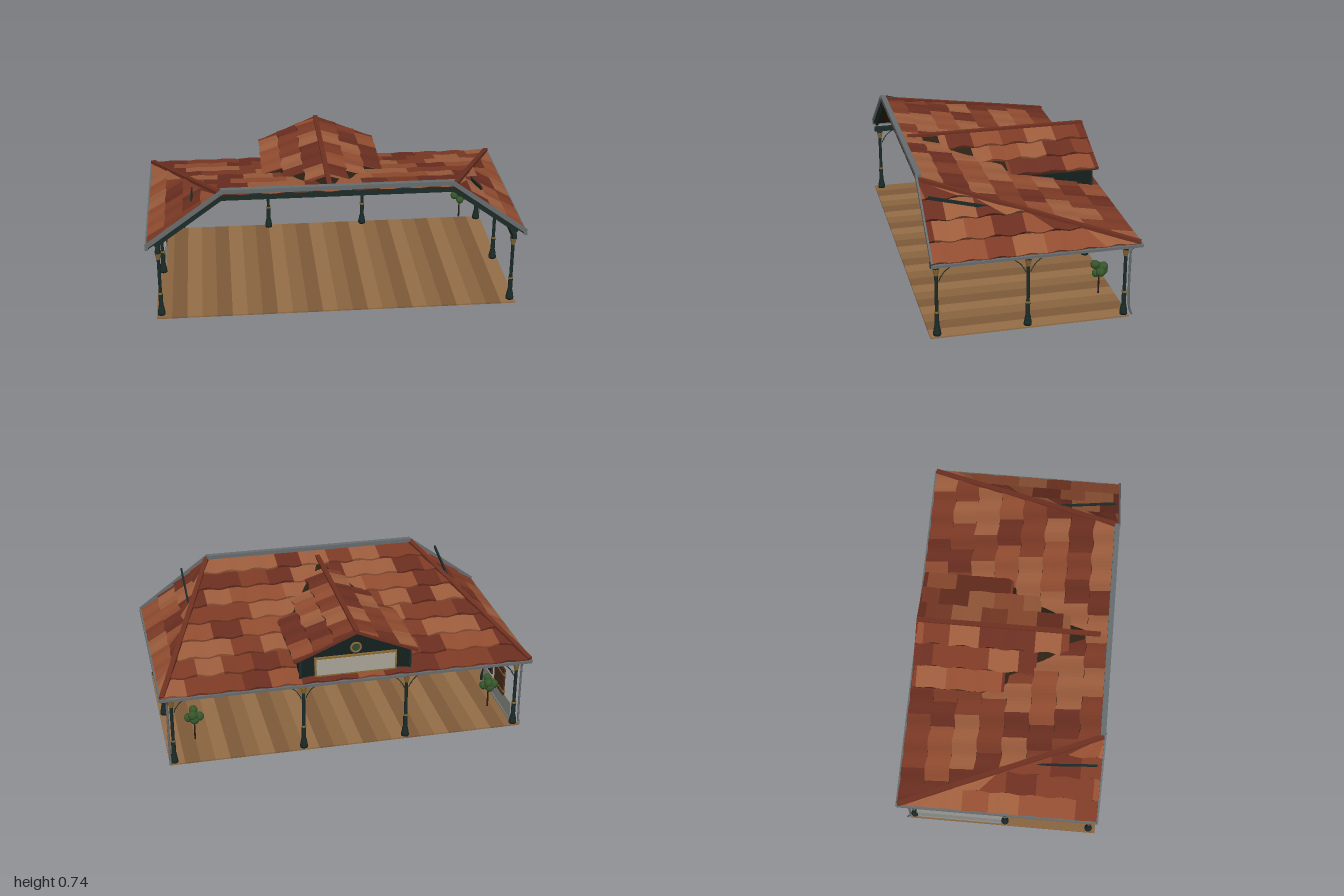
import * as THREE from 'three';

const V = (x, y, z) => new THREE.Vector3(x, y, z);
const mat = (color, extra = {}) => new THREE.MeshStandardMaterial({ color, ...extra });
const DS = { side: THREE.DoubleSide };
const iron = mat(0x1a2a28), gold = mat(0x8a6a32), steel = mat(0x666b6e), ridgeRed = mat(0x6e3020);
const lining = mat(0x2c2014, DS), panel = mat(0x14211f, DS), wood = mat(0x4a2c1c), stone = mat(0x8e8e8a);
const tiles = [0x7c3a25, 0x914c30, 0x6a2e20, 0x9c5c3c].map(c => mat(c, DS));
const planks = [0x8a6540, 0x7d5a38, 0x946e47].map(c => mat(c));

// Main roof: eave and ridge heights, half depth, half widths at eave and ridge
const EY = 0.42, RY = 0.705, D = 0.53, EX = 0.985, RX = 0.6;
// Dormer: ridge centre, half width, eave and ridge heights
const DX = -0.035, DW = 0.33, DE = 0.545, DR = 0.685;

function add(parent, name, geo, m, x = 0, y = 0, z = 0) {
  const mesh = new THREE.Mesh(geo, m);
  mesh.name = name;
  mesh.position.set(x, y, z);
  parent.add(mesh);
  return mesh;
}
const box = (p, name, m, w, h, d, x, y, z) => add(p, name, new THREE.BoxGeometry(w, h, d), m, x, y, z);

// Straight bar of section w x h between two points
function bar(p, name, m, a, b, w, h) {
  const mesh = box(p, name, m, w, h, a.distanceTo(b), 0, 0, 0);
  mesh.position.copy(a).add(b).multiplyScalar(0.5);
  mesh.lookAt(b);
  return mesh;
}

// Flat sheet through a convex ring of corners
function sheet(p, name, m, pts) {
  const g = new THREE.BufferGeometry().setFromPoints(pts);
  const idx = [];
  for (let i = 1; i < pts.length - 1; i++) idx.push(0, i, i + 1);
  g.setIndex(idx);
  g.computeVertexNormals();
  return add(p, name, g, m);
}

// Overlapping wavy tile courses; u runs along the eave, t climbs from eave to ridge
function tiledSlope(p, name, origin, U, up, rows, lo, hi, seed) {
  const N = U.clone().cross(up).normalize();
  if (N.y < 0) N.negate();
  const soup = tiles.map(() => []);
  const at = (u, t, h) => {
    const c = Math.min(Math.max(u, lo(t)), hi(t));
    const wave = Math.sin(c * 2 * Math.PI / 0.15);
    return origin.clone().addScaledVector(U, c).addScaledVector(up, t)
      .addScaledVector(N, h + (h > 0 ? 0.003 * wave : 0));
  };
  const step = 0.02, scallop = 0.006 / up.length();
  for (let r = 0; r < rows; r++) {
    const t0 = r / rows, t1 = (r + 1) / rows;
    for (let u = lo(t0); u < hi(t0); u += step) {
      const v = Math.min(u + step, hi(t0));
      const patch = Math.floor((u + r * 0.07 + 5) / 0.15);
      const hash = Math.abs(Math.sin(patch * 12.99 + r * 78.23 + seed) * 43758.5);
      const low = w => Math.max(0, t0 + scallop * Math.sin(w * 2 * Math.PI / 0.15));
      const a = at(u, low(u), 0.013), b = at(v, low(v), 0.013);
      const c = at(v, t1, 0.002), d = at(u, t1, 0.002);
      const e = at(u, low(u), -0.002), f = at(v, low(v), -0.002);
      for (const q of [a, b, c, a, c, d, e, f, b, e, b, a]) soup[Math.floor(hash) % 4].push(q);
    }
  }
  soup.forEach((pts, i) => {
    if (!pts.length) return;
    const g = new THREE.BufferGeometry().setFromPoints(pts);
    g.computeVertexNormals();
    add(p, name, g, tiles[i]);
  });
}

// Cast column with flared foot, ring and gilded capital
function post(p, x, z) {
  const g = new THREE.Group();
  g.name = 'post';
  g.position.set(x, 0, z);
  p.add(g);
  const prof = [[0, 0.008], [0.021, 0.008], [0.021, 0.02], [0.015, 0.055], [0.012, 0.065], [0.012, 0.13],
    [0.009, 0.145], [0.009, 0.34], [0.016, 0.376], [0.018, 0.385], [0, 0.39]];
  add(g, 'shaft', new THREE.LatheGeometry(prof.map(q => new THREE.Vector2(...q)), 10), iron);
  add(g, 'ring', new THREE.CylinderGeometry(0.0135, 0.0135, 0.009, 10), gold, 0, 0.137, 0);
  add(g, 'capital', new THREE.CylinderGeometry(0.018, 0.01, 0.036, 10), gold, 0, 0.357, 0);
}

// Curved bracket springing from a post in direction (dx, dz)
function bracket(p, x, z, dx, dz) {
  const pts = [[0.012, 0.305], [0.024, 0.33], [0.045, 0.358], [0.078, 0.382]].map(([o, y]) => V(x + dx * o, y, z + dz * o));
  add(p, 'bracket', new THREE.TubeGeometry(new THREE.CatmullRomCurve3(pts), 10, 0.0025, 5), iron);
  const curl = add(p, 'bracketCurl', new THREE.TorusGeometry(0.007, 0.0018, 5, 10), gold, x + dx * 0.024, 0.33, z + dz * 0.024);
  if (dz) curl.rotation.y = Math.PI / 2;
}

export function createModel() {
  const root = new THREE.Group();
  root.name = 'openPavilion';

  // Plank floor
  const n = 24, w = 1.92 / n;
  for (let i = 0; i < n; i++) box(root, 'floorPlank', planks[i * 7 % 3], w, 0.008, 1.03, -0.96 + w * (i + 0.5), 0.004, 0.023);

  // Main roof slopes with dark lining
  tiledSlope(root, 'backRoof', V(0, EY, -D), V(1, 0, 0), V(0, RY - EY, 2 * D), 8,
    t => -EX + (EX - RX) * t, t => EX - (EX - RX) * t, 1);
  sheet(root, 'backLining', lining, [V(-EX, EY - 0.008, -D), V(EX, EY - 0.008, -D), V(RX, RY - 0.008, D), V(-RX, RY - 0.008, D)]);
  for (const s of [-1, 1]) {
    tiledSlope(root, 'sideRoof', V(s * EX, EY, 0), V(0, 0, 1), V(-s * (EX - RX), RY - EY, 0), 4,
      t => -D + 2 * D * t, () => D, 5 + s);
    sheet(root, 'sideLining', lining, [V(s * EX, EY - 0.008, -D), V(s * EX, EY - 0.008, D), V(s * RX, RY - 0.008, D)]);
    bar(root, 'hipCap', ridgeRed, V(s * EX, EY + 0.012, -D), V(s * RX, RY + 0.01, D), 0.026, 0.018);
    bar(root, 'hipRafter', iron, V(s * 0.95, EY - 0.01, -0.48), V(s * RX, RY - 0.022, D - 0.02), 0.014, 0.02);
    // Front rake trim, side gutter and side beam
    bar(root, 'rakeTrim', steel, V(s * 0.995, EY + 0.008, D), V(s * 0.59, RY + 0.022, D), 0.01, 0.022);
    bar(root, 'rakeBeam', iron, V(s * 0.95, EY + 0.005, D - 0.015), V(s * RX, RY - 0.022, D - 0.015), 0.015, 0.022);
    box(root, 'sideGutter', steel, 0.018, 0.014, 2 * D + 0.01, s * 0.991, EY - 0.004, 0);
    box(root, 'sideBeam', iron, 0.022, 0.027, 1.02, s * 0.935, 0.397, 0.02);
    // Downpipe at the back corner
    const pipe = [V(s * 0.958, 0.41, -0.53), V(s * 0.958, 0.38, -0.49), V(s * 0.958, 0.34, -0.487),
      V(s * 0.958, 0.05, -0.493), V(s * 0.958, 0.012, -0.507)];
    add(root, 'downpipe', new THREE.TubeGeometry(new THREE.CatmullRomCurve3(pipe), 24, 0.006, 6), steel);
  }
  box(root, 'ridgeTrim', steel, 1.2, 0.022, 0.028, 0, RY + 0.019, D - 0.012);
  box(root, 'ridgeBeam', iron, 1.2, 0.025, 0.02, 0, RY - 0.025, D - 0.025);
  box(root, 'backGutter', steel, 1.99, 0.014, 0.018, 0, EY - 0.004, -D - 0.002);
  box(root, 'backBeam', iron, 1.89, 0.027, 0.022, 0, 0.397, -0.47);
  for (const x of [-0.75, -0.6, -0.32, -0.04, 0.24, 0.52, 0.75])
    bar(root, 'rafter', iron, V(x, 0.408, -0.5), V(x, 0.672, 0.5), 0.009, 0.016);

  // Dormer roof
  for (const s of [-1, 1]) {
    const ex = DX + s * DW;
    tiledSlope(root, 'dormerRoof', V(ex, DE, 0), V(0, 0, 1), V(-s * DW, DR - DE, 0), 3,
      () => -0.515, t => -0.02 + 0.49 * t, 11 + s);
    sheet(root, 'dormerLining', lining, [V(ex, DE - 0.006, -0.513), V(ex, DE - 0.006, -0.03),
      V(DX, DR - 0.006, 0.44), V(DX, DR - 0.006, -0.513)]);
    bar(root, 'dormerVerge', ridgeRed, V(ex, DE, -0.513), V(DX, DR, -0.513), 0.008, 0.014);
    const wx = DX + s * 0.295;
    sheet(root, 'dormerCheek', panel, [V(wx, 0.425, -0.487), V(wx, 0.556, -0.487), V(wx, 0.556, 0)]);
    box(root, 'dormerCornerTrim', iron, 0.012, 0.13, 0.012, wx, 0.49, -0.487);
  }
  bar(root, 'dormerRidgeCap', ridgeRed, V(DX, DR + 0.008, -0.515), V(DX, DR + 0.008, 0.47), 0.026, 0.012);
  sheet(root, 'dormerGable', panel, [V(DX - 0.295, 0.425, -0.487), V(DX - 0.295, 0.555, -0.487), V(DX, 0.677, -0.487),
    V(DX + 0.295, 0.555, -0.487), V(DX + 0.295, 0.425, -0.487)]);
  // Blank signboard and round ornament on the gable
  box(root, 'signFrame', gold, 0.44, 0.11, 0.012, DX, 0.495, -0.493);
  box(root, 'signBoard', mat(0xa8a498), 0.42, 0.09, 0.014, DX, 0.495, -0.495);
  add(root, 'gableRing', new THREE.TorusGeometry(0.026, 0.006, 6, 18), gold, DX, 0.59, -0.494);
  const disc = add(root, 'gableDisc', new THREE.CylinderGeometry(0.022, 0.022, 0.008, 16), mat(0x2d4a34), DX, 0.59, -0.491);
  disc.rotation.x = Math.PI / 2;

  // Posts and brackets
  for (const x of [-0.935, 0.935]) {
    for (const z of [0.5, 0.035, -0.47]) post(root, x, z);
    bracket(root, x, 0.5, 0, -1);
    bracket(root, x, 0.035, 0, 1);
    bracket(root, x, 0.035, 0, -1);
    bracket(root, x, -0.47, -Math.sign(x), 0);
  }
  for (const x of [-0.32, 0.24]) {
    post(root, x, -0.47);
    bracket(root, x, -0.47, 1, 0);
    bracket(root, x, -0.47, -1, 0);
  }

  // Low wall with coping and plinth on the right side
  box(root, 'lowWall', stone, 0.026, 0.108, 0.465, -0.937, 0.062, -0.217);
  box(root, 'wallCoping', stone, 0.036, 0.01, 0.472, -0.937, 0.119, -0.217);
  box(root, 'wallPlinth', stone, 0.032, 0.014, 0.465, -0.937, 0.015, -0.217);

  // Notice board
  box(root, 'noticeFrame', wood, 0.008, 0.08, 0.122, -0.912, 0.191, -0.105);
  box(root, 'noticePanel', iron, 0.011, 0.068, 0.11, -0.912, 0.191, -0.105);

  // Plank shutter with straps
  for (let i = 0; i < 6; i++) box(root, 'shutterPlank', wood, 0.01, 0.162, 0.0235, -0.91, 0.207, -0.232 - i * 0.025);
  for (const y of [0.152, 0.255]) box(root, 'shutterStrap', gold, 0.015, 0.008, 0.156, -0.91, y, -0.295);

  // Small trees
  const leaf = mat(0x35552a, { flatShading: true });
  const blobs = [[0, 0.24, 0.022, 0.024], [-0.028, 0.212, -0.005, 0.025], [0.028, 0.208, 0.0, 0.025],
    [0, 0.203, -0.022, 0.025], [0.008, 0.228, -0.02, 0.026], [0, 0.19, 0.016, 0.022]];
  for (const x of [-0.818, 0.81]) {
    const tree = new THREE.Group();
    tree.name = 'tree';
    tree.position.set(x, 0, -0.372);
    root.add(tree);
    add(tree, 'trunk', new THREE.CylinderGeometry(0.004, 0.005, 0.115, 6), mat(0x2a1c14), 0, 0.13, 0);
    for (const [bx, by, bz, r] of blobs) add(tree, 'foliage', new THREE.IcosahedronGeometry(r, 1), leaf, bx, by, bz);
  }
  return root;
}
